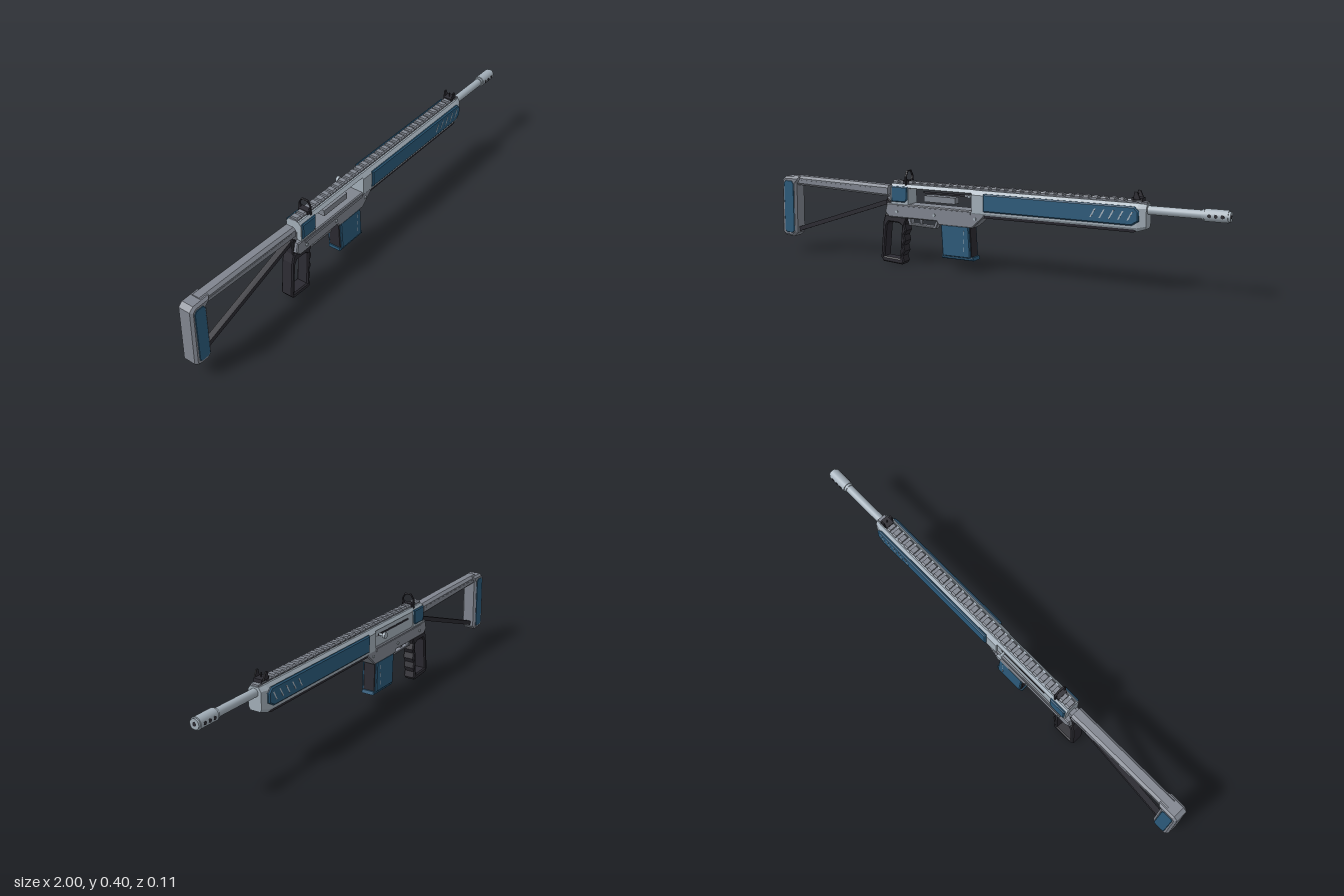
import * as THREE from 'three';
import { ConvexGeometry } from 'three/addons/geometries/ConvexGeometry.js';

const mat = (name, color, extra = {}) => {
  const m = new THREE.MeshStandardMaterial({ color, ...extra });
  m.name = name;
  return m;
};

export function createModel() {
  const steel = mat('pale steel', 0xa3afb9);
  const grey = mat('gunmetal grey', 0x80858f);
  const dark = mat('black polymer', 0x2b2a31);
  const blue = mat('blue polymer', 0x2b5a7a);

  const root = new THREE.Group();
  root.name = 'rifle';
  const body = new THREE.Group();
  body.name = 'rifleBody';
  body.position.z = 0.008;
  root.add(body);

  const add = (name, geo, m, x = 0, y = 0, z = 0) => {
    const mesh = new THREE.Mesh(geo, m);
    mesh.name = name;
    mesh.position.set(x, y, z);
    body.add(mesh);
    return mesh;
  };
  // box given by its x and y limits, depth and centre z
  const box = (name, m, x0, x1, y0, y1, d, z = 0) =>
    add(name, new THREE.BoxGeometry(x1 - x0, y1 - y0, d), m, (x0 + x1) / 2, (y0 + y1) / 2, z);
  // convex solid through mirrored cross-sections: [x, [[halfWidth, y], ...]]
  const loft = (name, m, stations) => {
    const pts = [];
    for (const [x, sec] of stations)
      for (const [w, y] of sec) pts.push(new THREE.Vector3(x, y, w), new THREE.Vector3(x, y, -w));
    return add(name, new ConvexGeometry(pts), m);
  };
  // side outline extruded along z with a small bevel, optional hole
  const plate = (name, m, pts, depth, z = 0, hole = null, bevel = 0.004) => {
    const v = (a) => a.map(([x, y]) => new THREE.Vector2(x, y));
    const s = new THREE.Shape(v(pts));
    if (hole) s.holes.push(new THREE.Path(v(hole)));
    const g = new THREE.ExtrudeGeometry(s, {
      depth: depth - 2 * bevel, bevelEnabled: bevel > 0, bevelSize: bevel,
      bevelOffset: -bevel, bevelThickness: bevel, bevelSegments: 1,
    });
    g.translate(0, 0, -(depth - 2 * bevel) / 2);
    return add(name, g, m, 0, 0, z);
  };
  const rod = (name, m, x0, x1, r, y, sides = 16) => {
    const g = new THREE.CylinderGeometry(r, r, x1 - x0, sides);
    g.rotateZ(-Math.PI / 2);
    return add(name, g, m, (x0 + x1) / 2, y);
  };

  // Barrel and muzzle brake
  rod('barrel', steel, 0.66, 0.92, 0.017, 0.32);
  rod('muzzleBrake', steel, 0.905, 0.992, 0.024, 0.32);
  rod('muzzleCrown', steel, 0.895, 1, 0.02, 0.32);
  rod('bore', dark, 0.999, 1.0005, 0.008, 0.32);
  for (const s of [1, -1])
    for (let i = 0; i < 3; i++) {
      const port = add('brakePort', new THREE.CylinderGeometry(0.007, 0.007, 0.002, 10), dark,
        0.925 + i * 0.024, 0.32, s * 0.0238);
      port.rotation.x = Math.PI / 2;
    }

  // Handguard with tapered nose
  const guard = [[0.024, 0.346], [0.039, 0.328], [0.039, 0.255], [0.03, 0.24]];
  loft('handguard', steel, [
    [-0.035, guard], [0.66, guard],
    [0.692, [[0.019, 0.343], [0.029, 0.328], [0.029, 0.262], [0.022, 0.25]]],
  ]);
  loft('handguardUnderside', dark, [
    [0.02, [[0.036, 0.254], [0.032, 0.236]]],
    [0.645, [[0.036, 0.254], [0.032, 0.236]]],
    [0.668, [[0.034, 0.256], [0.03, 0.246]]],
  ]);
  for (const s of [1, -1]) {
    plate('handguardPanel', blue,
      [[0.02, 0.263], [0.64, 0.263], [0.668, 0.28], [0.668, 0.318], [0.65, 0.336], [0.02, 0.336]],
      0.014, s * 0.04, null, 0.005);
    for (let i = 0; i < 5; i++) {
      const x = 0.475 + i * 0.037;
      plate('panelSlot', steel,
        [[x, 0.283], [x + 0.006, 0.283], [x + 0.024, 0.317], [x + 0.018, 0.317]], 0.001, s * 0.0471, null, 0);
    }
  }

  // Top rail with teeth
  box('railBase', grey, -0.42, 0.69, 0.344, 0.351, 0.034);
  for (let i = 0; i < 31; i++) {
    const x = -0.415 + i * 0.0355;
    loft('railTooth', grey, [x, x + 0.02].map((t) => [t, [[0.02, 0.35], [0.02, 0.354], [0.014, 0.36]]]));
  }

  // Upper receiver: roof, rear block, open port, bolt
  const roof = [[0.024, 0.347], [0.034, 0.334], [0.03, 0.331]];
  loft('receiverRoof', steel, [[-0.42, roof], [-0.03, roof]]);
  const rear = [[0.024, 0.347], [0.035, 0.332], [0.035, 0.262]];
  loft('receiverRear', steel, [[-0.42, rear], [-0.335, rear]]);
  for (const s of [1, -1])
    plate('rearPanel', blue,
      [[-0.415, 0.272], [-0.35, 0.272], [-0.337, 0.285], [-0.337, 0.338], [-0.415, 0.338]], 0.012, s * 0.035);
  const wall = add('receiverFarWall', new THREE.PlaneGeometry(0.31, 0.07), steel, -0.18, 0.299, -0.031);
  wall.rotation.y = Math.PI;
  box('bolt', grey, -0.265, -0.12, 0.28, 0.306, 0.036, 0.004);
  box('boltSlot', dark, -0.3, -0.06, 0.306, 0.314, 0.002, -0.0315);
  const handle = add('boltHandle', new THREE.CylinderGeometry(0.006, 0.006, 0.05, 10), steel, -0.072, 0.31, -0.034);
  handle.rotation.x = Math.PI / 2;
  const knob = add('boltKnob', new THREE.CylinderGeometry(0.0125, 0.0125, 0.011, 14), steel, -0.072, 0.31, -0.0575);
  knob.rotation.x = Math.PI / 2;
  box('boltLever', grey, -0.098, -0.04, 0.304, 0.316, 0.01, -0.026);

  // Lower receiver, magazine well, trigger
  plate('lowerReceiver', grey,
    [[-0.45, 0.225], [-0.43, 0.205], [-0.2, 0.205], [-0.19, 0.19], [-0.035, 0.19],
      [0.02, 0.24], [0.02, 0.262], [-0.44, 0.264]], 0.072);
  for (const s of [1, -1]) {
    box('receiverRidge', grey, -0.4, -0.04, 0.245, 0.256, 0.004, s * 0.037);
    for (const x of [-0.39, -0.21, -0.02]) {
      const pin = add('pin', new THREE.CylinderGeometry(0.006, 0.006, 0.006, 10), steel, x, 0.23, s * 0.037);
      pin.rotation.x = Math.PI / 2;
    }
  }
  plate('triggerGuard', grey,
    [[-0.355, 0.21], [-0.345, 0.172], [-0.215, 0.168], [-0.198, 0.21]], 0.03, 0,
    [[-0.338, 0.206], [-0.332, 0.18], [-0.225, 0.177], [-0.214, 0.206]], 0.002);
  plate('trigger', grey,
    [[-0.3, 0.21], [-0.275, 0.21], [-0.283, 0.195], [-0.285, 0.178], [-0.295, 0.18]], 0.014, 0, null, 0.002);

  // Magazine
  const magazine = [[-0.175, 0.06], [-0.04, 0.06], [-0.048, 0.2], [-0.183, 0.2]];
  plate('magazineCore', dark, magazine, 0.058);
  for (const s of [1, -1]) {
    plate('magazinePanel', blue, [[-0.172, 0.064], [-0.042, 0.064], [-0.05, 0.196], [-0.18, 0.196]],
      0.012, s * 0.03);
    for (let i = 0; i < 3; i++)
      box('magazineMark', steel, -0.073, -0.07, 0.09 + i * 0.034, 0.108 + i * 0.034, 0.001, s * 0.0362);
  }
  plate('magazineBase', blue, [[-0.18, 0.053], [-0.03, 0.053], [-0.034, 0.067], [-0.18, 0.067]], 0.062);

  // Open pistol grip with finger bumps
  plate('grip', dark,
    [[-0.48, 0.025], [-0.468, 0.008], [-0.375, 0.002], [-0.366, 0.014], [-0.372, 0.04], [-0.362, 0.06],
      [-0.368, 0.085], [-0.357, 0.105], [-0.364, 0.13], [-0.352, 0.15], [-0.36, 0.175], [-0.345, 0.21],
      [-0.455, 0.215], [-0.466, 0.18]],
    0.054, 0,
    [[-0.462, 0.03], [-0.386, 0.026], [-0.374, 0.17], [-0.388, 0.18], [-0.438, 0.182], [-0.449, 0.165]], 0.005);
  plate('gripTang', dark, [[-0.455, 0.21], [-0.43, 0.21], [-0.43, 0.268], [-0.45, 0.285], [-0.455, 0.26]], 0.04);

  // Stock: upper tube, strut and butt
  const tube = (y0, y1, w) => [[w * 0.6, y1], [w, y1 - 0.01], [w, y0 + 0.01], [w * 0.6, y0]];
  loft('stockTube', grey, [
    [-0.935, tube(0.305, 0.346, 0.026)], [-0.62, tube(0.304, 0.341, 0.025)], [-0.44, tube(0.288, 0.336, 0.027)],
  ]);
  for (const s of [1, -1]) {
    const ridge = box('stockRidge', grey, -0.92, -0.46, 0.317, 0.325, 0.004, s * 0.0255);
    ridge.rotation.z = -0.015;
  }
  box('stockHinge', grey, -0.45, -0.41, 0.262, 0.298, 0.03);
  const a = new THREE.Vector2(-0.935, 0.1), b = new THREE.Vector2(-0.435, 0.27);
  const strut = add('stockStrut', new THREE.BoxGeometry(a.distanceTo(b), 0.019, 0.024), dark,
    (a.x + b.x) / 2, (a.y + b.y) / 2);
  strut.rotation.z = Math.atan2(b.y - a.y, b.x - a.x);
  plate('butt', grey,
    [[-1, 0.09], [-0.985, 0.075], [-0.94, 0.072], [-0.92, 0.09], [-0.916, 0.31], [-0.9, 0.325],
      [-0.9, 0.342], [-0.975, 0.341], [-0.993, 0.325]], 0.068, 0, null, 0.009);
  for (const s of [1, -1])
    plate('buttPanel', blue,
      [[-0.982, 0.1], [-0.972, 0.09], [-0.94, 0.09], [-0.93, 0.1], [-0.928, 0.31], [-0.938, 0.324],
        [-0.97, 0.324], [-0.98, 0.312]], 0.006, s * 0.033, null, 0.002);

  // Rear sight: angular hoop across the rail
  const hoop = plate('rearSight', dark,
    [[-0.029, 0.342], [0.029, 0.342], [0.029, 0.38], [0.015, 0.404], [-0.015, 0.404], [-0.029, 0.38]],
    0.008, 0,
    [[-0.017, 0.36], [0.017, 0.36], [0.024, 0.379], [0.012, 0.399], [-0.012, 0.399], [-0.024, 0.379]], 0.001);
  hoop.rotation.y = Math.PI / 2;
  hoop.position.x = -0.35;
  box('rearSightBase', dark, -0.365, -0.34, 0.345, 0.363, 0.046);

  // Front sight: base, two ears and a post
  box('frontSightBase', dark, 0.63, 0.672, 0.349, 0.365, 0.036);
  for (const s of [1, -1]) {
    const ear = plate('frontSightEar', dark,
      [[0.637, 0.36], [0.666, 0.36], [0.66, 0.375], [0.653, 0.39], [0.643, 0.39]], 0.006, s * 0.013, null, 0.001);
    ear.rotation.x = s * 0.02;
  }
  add('frontSightPost', new THREE.CylinderGeometry(0.002, 0.003, 0.022, 8), dark, 0.65, 0.372);
  return root;
}
